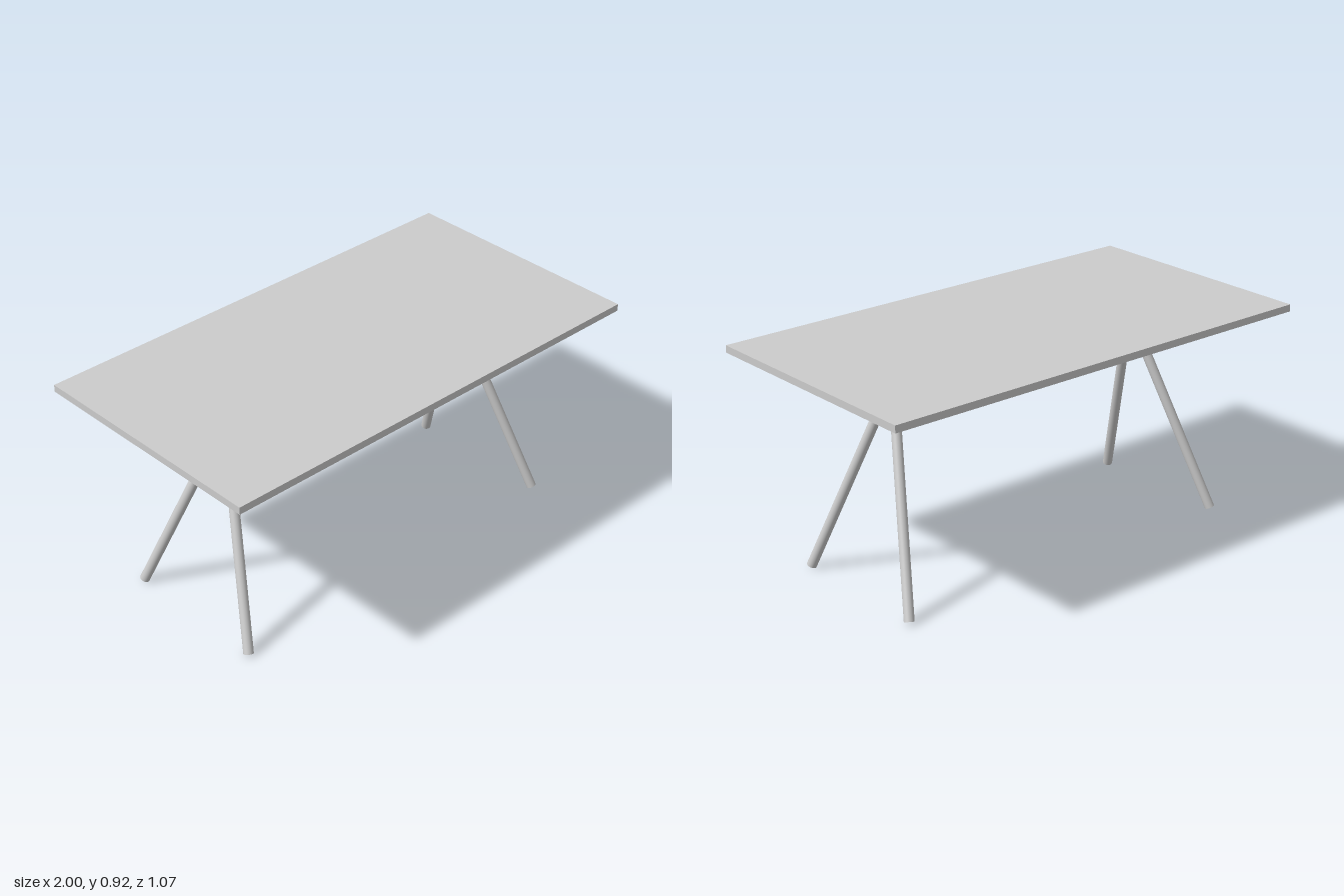
import * as THREE from 'three';
import { toCreasedNormals } from 'three/addons/utils/BufferGeometryUtils.js';

const material = new THREE.MeshStandardMaterial({ color: 0xcccccc });

function addMesh(group, name, geometry, x = 0, y = 0, z = 0) {
  const mesh = new THREE.Mesh(geometry, material);
  mesh.name = name;
  mesh.position.set(x, y, z);
  group.add(mesh);
  return mesh;
}

// Loft of rectangles [halfX, halfZ, y], listed from top to bottom, capped at both ends
function rectangleLoft(rings) {
  const corners = ([x, z, y]) => [[x, y, z], [x, y, -z], [-x, y, -z], [-x, y, z]];
  const positions = [];
  const quad = (a, b, c, d) => positions.push(...a, ...b, ...c, ...a, ...c, ...d);
  for (let i = 0; i < rings.length - 1; i++) {
    const upper = corners(rings[i]);
    const lower = corners(rings[i + 1]);
    for (let k = 0; k < 4; k++) {
      const n = (k + 1) % 4;
      quad(lower[k], lower[n], upper[n], upper[k]);
    }
  }
  const top = corners(rings[0]);
  const bottom = corners(rings[rings.length - 1]);
  quad(top[0], top[1], top[2], top[3]);
  quad(bottom[3], bottom[2], bottom[1], bottom[0]);
  const geometry = new THREE.BufferGeometry();
  geometry.setAttribute('position', new THREE.Float32BufferAttribute(positions, 3));
  return toCreasedNormals(geometry, 0.6);
}

// Round bar between two points
function addBar(group, name, from, to, radius) {
  const axis = to.clone().sub(from);
  const bar = addMesh(group, name, new THREE.CylinderGeometry(radius, radius, axis.length(), 32));
  bar.position.copy(from).add(to).multiplyScalar(0.5);
  bar.quaternion.setFromUnitVectors(new THREE.Vector3(0, 1, 0), axis.normalize());
}

export function createModel() {
  const group = new THREE.Group();
  group.name = 'table';

  addMesh(group, 'tableTop', new THREE.BoxGeometry(2, 0.03, 1.066), 0, 0.905, 0);

  // Underframe: shallow flange that sweeps through a concave fillet into a narrow beam
  const rings = [[0.813, 0.318, 0.89], [0.79, 0.318, 0.861], [0.69, 0.085, 0.845]];
  const steps = 6;
  for (let i = 0; i <= steps; i++) {
    const a = (i / steps) * Math.PI / 2;
    rings.push([
      0.68 - 0.028 * Math.sin(a),
      0.075 - 0.017 * Math.sin(a),
      0.844 - 0.026 * (1 - Math.cos(a)),
    ]);
  }
  rings.push([0.652, 0.058, 0.8]);
  addMesh(group, 'underframe', rectangleLoft(rings));

  // Leg blocks under the beam ends, each with two splayed legs
  for (const sx of [-1, 1]) {
    const side = sx > 0 ? 'left' : 'right';
    addMesh(group, side + 'LegBlock', new THREE.BoxGeometry(0.052, 0.05, 0.116), sx * 0.626, 0.795, 0);
    for (const sz of [-1, 1]) {
      addBar(
        group,
        side + (sz > 0 ? 'FrontLeg' : 'BackLeg'),
        new THREE.Vector3(sx * 0.8, 0.0085, sz * 0.3165 - 0.005),
        new THREE.Vector3(sx * 0.624, 0.778, sz * 0.0235 - 0.003),
        0.0205,
      );
    }
  }
  return group;
}
